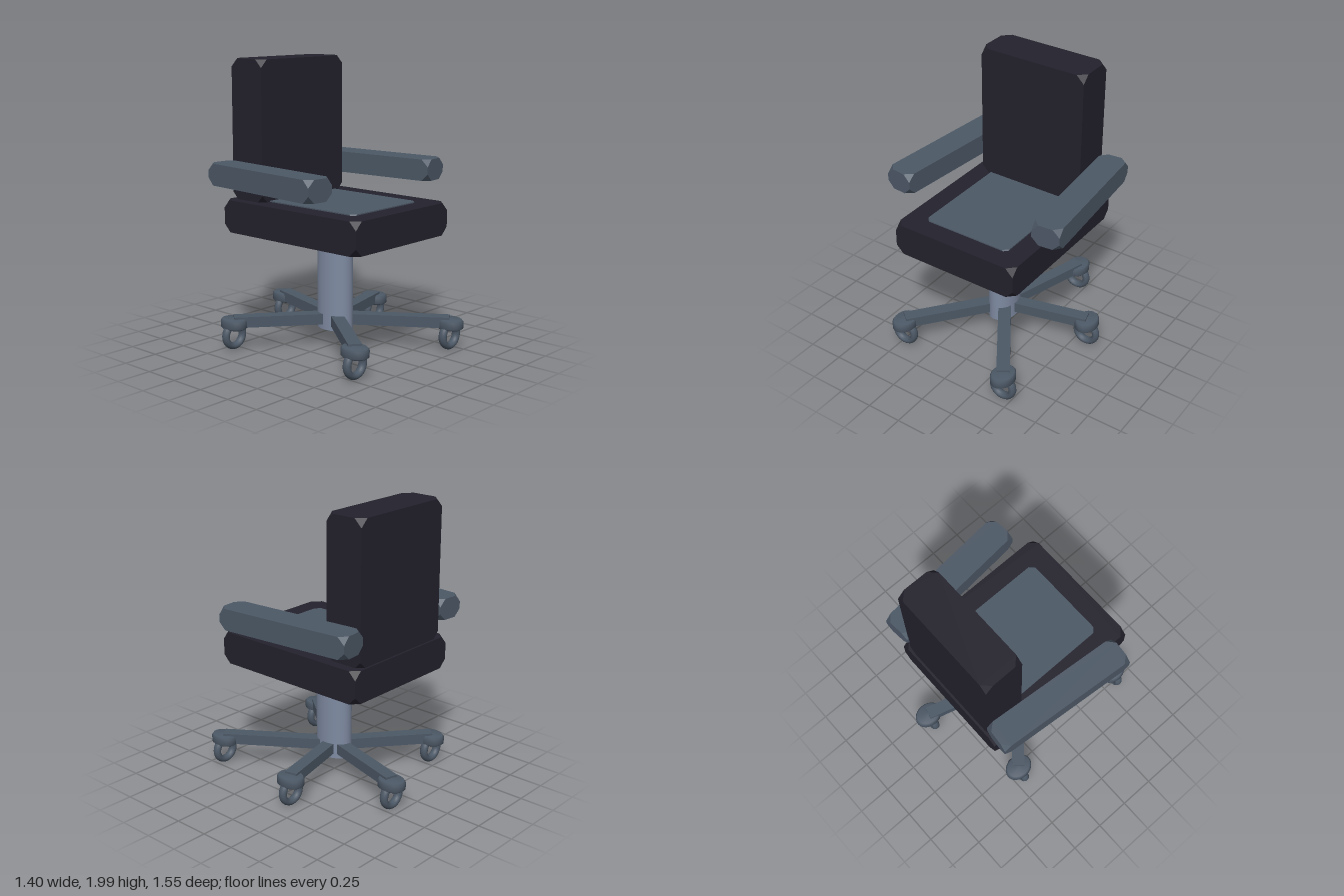
import * as THREE from 'three';
import { ConvexGeometry } from 'three/addons/geometries/ConvexGeometry.js';

const mat = (name, color) => {
  const m = new THREE.MeshStandardMaterial({ color });
  m.name = name;
  return m;
};

// Box with sharp edges whose eight corners are cut off
function cutBox(w, h, d, cut) {
  const pts = [];
  for (const sx of [-1, 1]) for (const sy of [-1, 1]) for (const sz of [-1, 1]) {
    const [x, y, z] = [sx * w / 2, sy * h / 2, sz * d / 2];
    pts.push(
      new THREE.Vector3(x - sx * cut, y, z),
      new THREE.Vector3(x, y - sy * cut, z),
      new THREE.Vector3(x, y, z - sz * cut));
  }
  return new ConvexGeometry(pts);
}

export function createModel() {
  const chair = new THREE.Group();
  chair.name = 'officeChair';
  const leather = mat('blackLeather', 0x23212c);
  const slate = mat('slateGrey', 0x4c5866);
  const steel = mat('paleSteel', 0x7f8ba2);

  const add = (name, geometry, material, x, y, z, parent = chair) => {
    const mesh = new THREE.Mesh(geometry, material);
    mesh.name = name;
    mesh.position.set(x, y, z);
    parent.add(mesh);
    return mesh;
  };

  // Upholstery
  add('seat', cutBox(0.95, 0.225, 1.2, 0.055), leather, -0.008, 0.922, 0.01);
  add('seatPad', cutBox(0.66, 0.14, 0.92, 0.035), slate, -0.01, 0.972, 0.005);
  add('backrest', cutBox(0.81, 0.975, 0.285, 0.055), leather, -0.005, 1.5125, -0.432);

  // Armrests, splayed outwards towards the front
  for (const [name, x, turn] of [['leftArmrest', 0.538, 1], ['rightArmrest', -0.555, -1]]) {
    const arm = add(name, cutBox(0.2, 0.15, 1.02, 0.05), slate, x, 1.227, -0.09);
    arm.rotation.y = turn * 0.089;
  }

  // Oval centre post
  const post = add('post', new THREE.CylinderGeometry(0.1, 0.1, 0.66, 32), steel, -0.01, 0.467, 0.012);
  post.scale.z = 1.4;

  // Five legs, each ending in a caster
  const ends = [[0.19, -0.675], [0.595, -0.14], [0.437, 0.672], [-0.467, 0.592], [-0.555, -0.437]];
  const hub = [-0.01, 0.01];
  const capProfile = [[0, -0.036], [0.068, -0.036], [0.08, -0.024], [0.08, 0.02], [0.07, 0.034], [0, 0.038]]
    .map(([x, y]) => new THREE.Vector2(x, y));
  const capGeometry = new THREE.LatheGeometry(capProfile, 24);
  const wheelGeometry = new THREE.TorusGeometry(0.077, 0.024, 12, 32);

  ends.forEach(([x, z], i) => {
    const unit = new THREE.Group();
    unit.name = 'legAndCaster' + (i + 1);
    chair.add(unit);

    const dx = x - hub[0], dz = z - hub[1];
    const leg = add('leg', new THREE.BoxGeometry(0.09, 0.075, Math.hypot(dx, dz)), slate,
      (x + hub[0]) / 2, 0.208, (z + hub[1]) / 2, unit);
    leg.rotation.y = Math.atan2(dx, dz);

    const cap = add('casterCap', capGeometry, slate, x, 0.195, z, unit);
    cap.scale.z = 1.28;
    const wheel = add('casterWheel', wheelGeometry, slate, x, 0.111, z, unit);
    wheel.scale.z = 1.25;
  });

  return chair;
}
